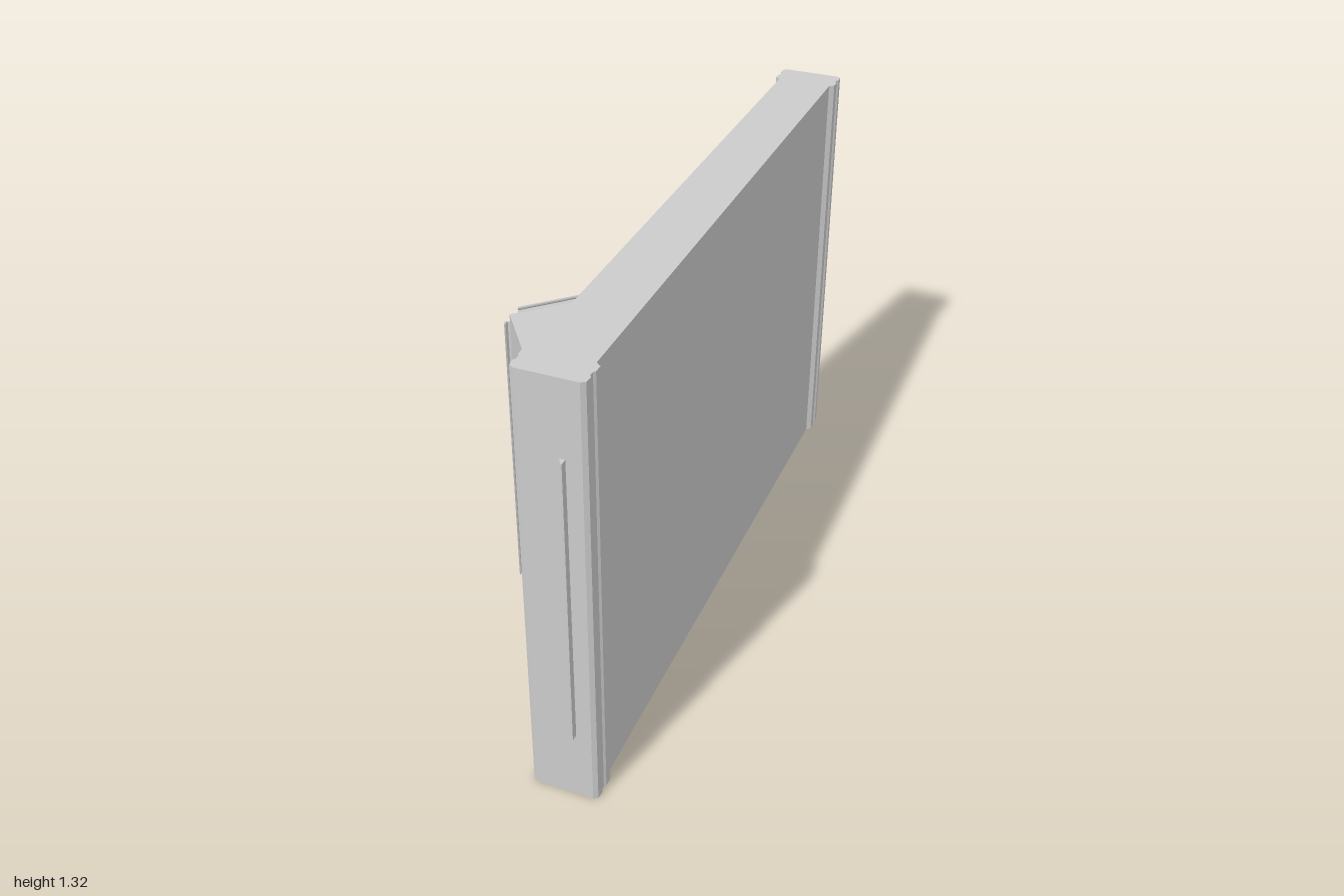
import * as THREE from 'three';

export function createModel() {
  const model = new THREE.Group();
  const mat = new THREE.MeshStandardMaterial({ color: 0xcccccc, side: THREE.DoubleSide });

  const add = (parent, name, geometry) => {
    const mesh = new THREE.Mesh(geometry, mat);
    mesh.name = name;
    parent.add(mesh);
    return mesh;
  };

  // Upright prism from a plan outline of [x, z] points
  const prism = (points, y0, y1) => {
    const shape = new THREE.Shape(points.map(([x, z]) => new THREE.Vector2(x, -z)));
    return new THREE.ExtrudeGeometry(shape, { depth: y1 - y0, bevelEnabled: false })
      .rotateX(-Math.PI / 2).translate(0, y0, 0);
  };

  // Wall panel
  const cx = 0.142, half = 0.083, height = 1.32, front = 0.98, back = -1;
  add(model, 'wallPanel', prism([
    [cx - half, back], [cx + half, back], [cx + half, front], [cx - half, front],
  ], 0, height));

  // Stepped mouldings on both faces at both ends: [distance from end, projection]
  const steps = [[0, 0], [0.008, 0.012], [0.03, 0.014], [0.036, 0.009],
    [0.05, 0.009], [0.056, 0.014], [0.08, 0.014], [0.09, 0]];
  for (const side of [-1, 1]) {
    for (const [end, dir] of [[front, -1], [back, 1]]) {
      add(model, 'endMoulding', prism(
        steps.map(([d, out]) => [cx + side * (half + out), end + dir * d]), 0, height));
    }
  }

  // Thin upright fin on the front end
  add(model, 'frontFin', prism([[0.167, front], [0.182, front], [0.182, 1], [0.174, 0.995]], 0.22, 1.1));

  // Wedge-shaped hood, open towards the back
  const hood = new THREE.Group();
  hood.name = 'hood';
  model.add(hood);
  const y0 = 0.212, y1 = 1.11, skin = 0.006;
  const plan = [[0.06, 0.18], [0.04, 0.18], [-0.23, 0.45], [0.06, 0.835]];
  add(hood, 'hoodFloor', prism(plan, y0, y0 + skin));
  add(hood, 'hoodRoof', prism(plan, y1 - skin, y1));
  add(hood, 'hoodWall', prism([[-0.23, 0.45], [0.06, 0.835], [0.06, 0.825], [-0.226, 0.446]], y0, y1));

  // Curled lips around the opening; local x runs along it, z faces out of it
  const rim = new THREE.Group();
  rim.name = 'openingRim';
  rim.position.set(-0.095, (y0 + y1) / 2, 0.315);
  rim.rotation.y = -3 * Math.PI / 4;
  hood.add(rim);
  const curl = [[0, -0.004], [0, 0.003], [0.008, 0.006], [0.016, 0.002],
    [0.019, -0.01], [0.015, -0.01], [0.012, -0.002], [0.006, 0.001]];
  const lip = (length) => new THREE.ExtrudeGeometry(
    new THREE.Shape(curl.map(([out, n]) => new THREE.Vector2(out, n))),
    { depth: length, bevelEnabled: false }).translate(0, 0, -length / 2);
  const halfW = 0.191, halfH = (y1 - y0) / 2;
  for (const s of [-1, 1]) {
    // Side lips
    const sideLip = add(rim, 'sideLip', lip(0.855).rotateX(Math.PI / 2));
    sideLip.scale.set(s, 1, -1);
    sideLip.position.x = s * halfW;
    sideLip.geometry.scale(1, 1, -1);
    // Top and bottom lips
    const endLip = add(rim, s > 0 ? 'topLip' : 'bottomLip',
      lip(0.332).rotateX(Math.PI / 2).rotateZ(Math.PI / 2));
    endLip.scale.y = s;
    endLip.position.y = s * halfH;
  }
  return model;
}
